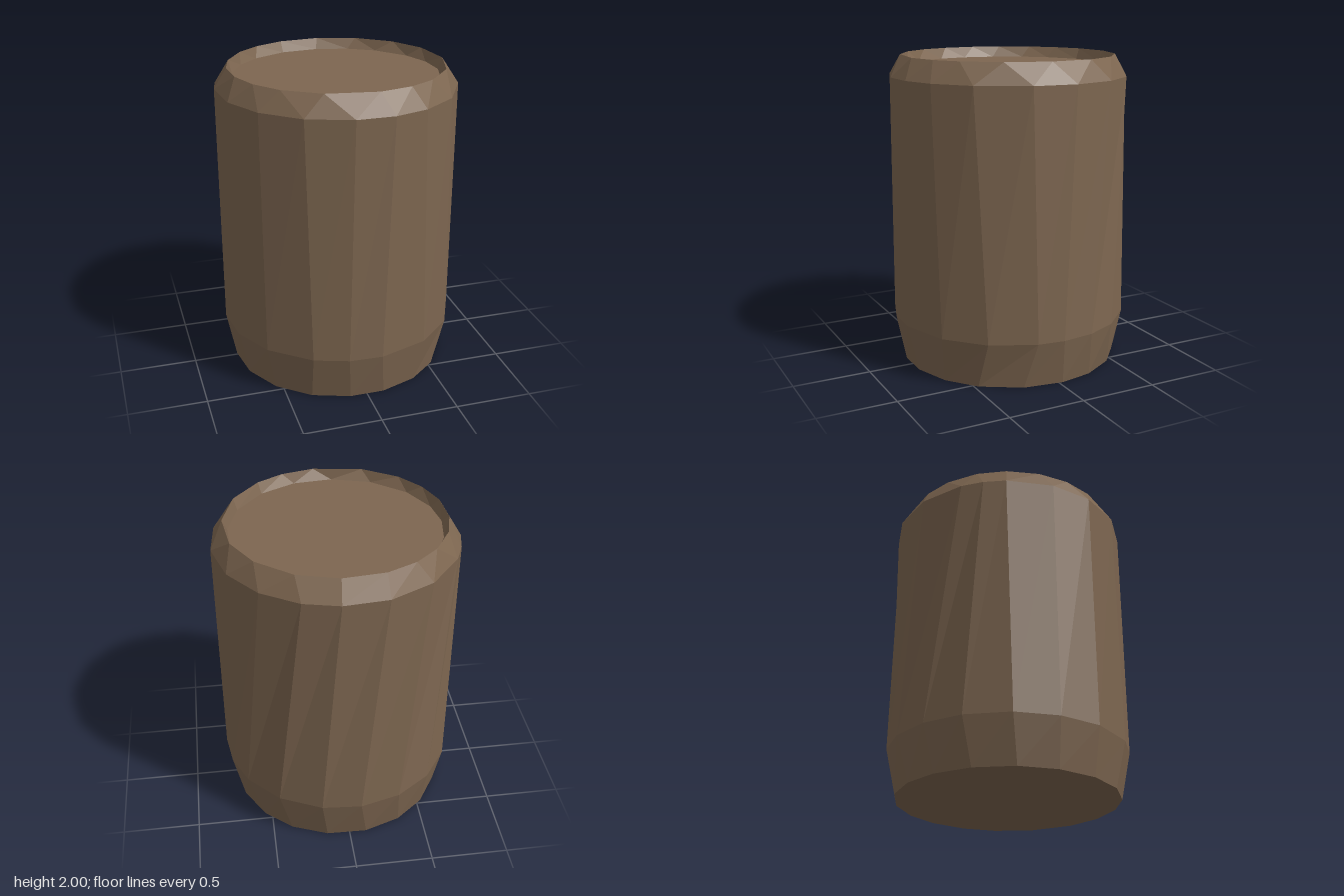
import * as THREE from 'three';

// Uneven 18-sided rings from the base up: height, radius, corner angles in degrees
const rings = {
  base: { y: 0, r: 0.71, a: [2, 20, 40, 58, 78, 99, 119, 138, 158, 179, 199, 220, 241, 261, 279, 299, 318, 341] },
  lower: { y: 0.3, r: 0.77, a: [0, 16, 33, 54, 76, 95, 115, 135, 155, 177, 198, 219, 243, 260, 276, 301, 324, 347] },
  upper: { y: 1.87, r: 0.77, a: [5, 27, 48, 68, 85, 106, 129, 152, 163, 174, 197, 218, 240, 262, 280, 297, 318, 344] },
  rim: { y: 2, r: 0.69, a: [-5, 19, 40, 63, 85, 107, 124, 140, 158, 174, 192, 209, 226, 248, 275, 293, 309, 331] },
  inset: { y: 1.93, r: 0.66, a: [-6, 11, 28, 50, 67, 86, 107, 128, 144, 162, 180, 197, 218, 242, 265, 287, 309, 332] },
};

const corner = (ring, i) => {
  const t = THREE.MathUtils.degToRad(ring.a[i % ring.a.length]);
  return [ring.r * Math.cos(t), ring.y, -ring.r * Math.sin(t)];
};

function toGeometry(points) {
  const g = new THREE.BufferGeometry();
  g.setAttribute('position', new THREE.Float32BufferAttribute(points.flat(), 3));
  g.computeVertexNormals();
  return g;
}

// Band of flat facets joining two rings
function band(from, to) {
  const pts = [];
  from.a.forEach((_, i) => {
    const a = corner(from, i), b = corner(from, i + 1);
    const c = corner(to, i + 1), d = corner(to, i);
    pts.push(a, b, c, a, c, d);
  });
  return toGeometry(pts);
}

// Flat disc closing a ring, facing up or down
function cap(ring, up) {
  const pts = [];
  ring.a.forEach((_, i) => {
    const a = corner(ring, i), b = corner(ring, i + 1);
    pts.push([0, ring.y, 0], ...(up ? [a, b] : [b, a]));
  });
  return toGeometry(pts);
}

export function createModel() {
  const group = new THREE.Group();
  group.name = 'barrel';
  const wood = new THREE.MeshStandardMaterial({ color: 0x7d6650, flatShading: true });
  const add = (name, geometry) => {
    const mesh = new THREE.Mesh(geometry, wood);
    mesh.name = name;
    group.add(mesh);
  };

  // Outer wall
  add('taperedFoot', band(rings.base, rings.lower));
  add('body', band(rings.lower, rings.upper));
  add('shoulder', band(rings.upper, rings.rim));

  // Shallow recess in the top, and the underside
  add('recessWall', band(rings.rim, rings.inset));
  add('lid', cap(rings.inset, true));
  add('bottom', cap(rings.base, false));

  return group;
}
